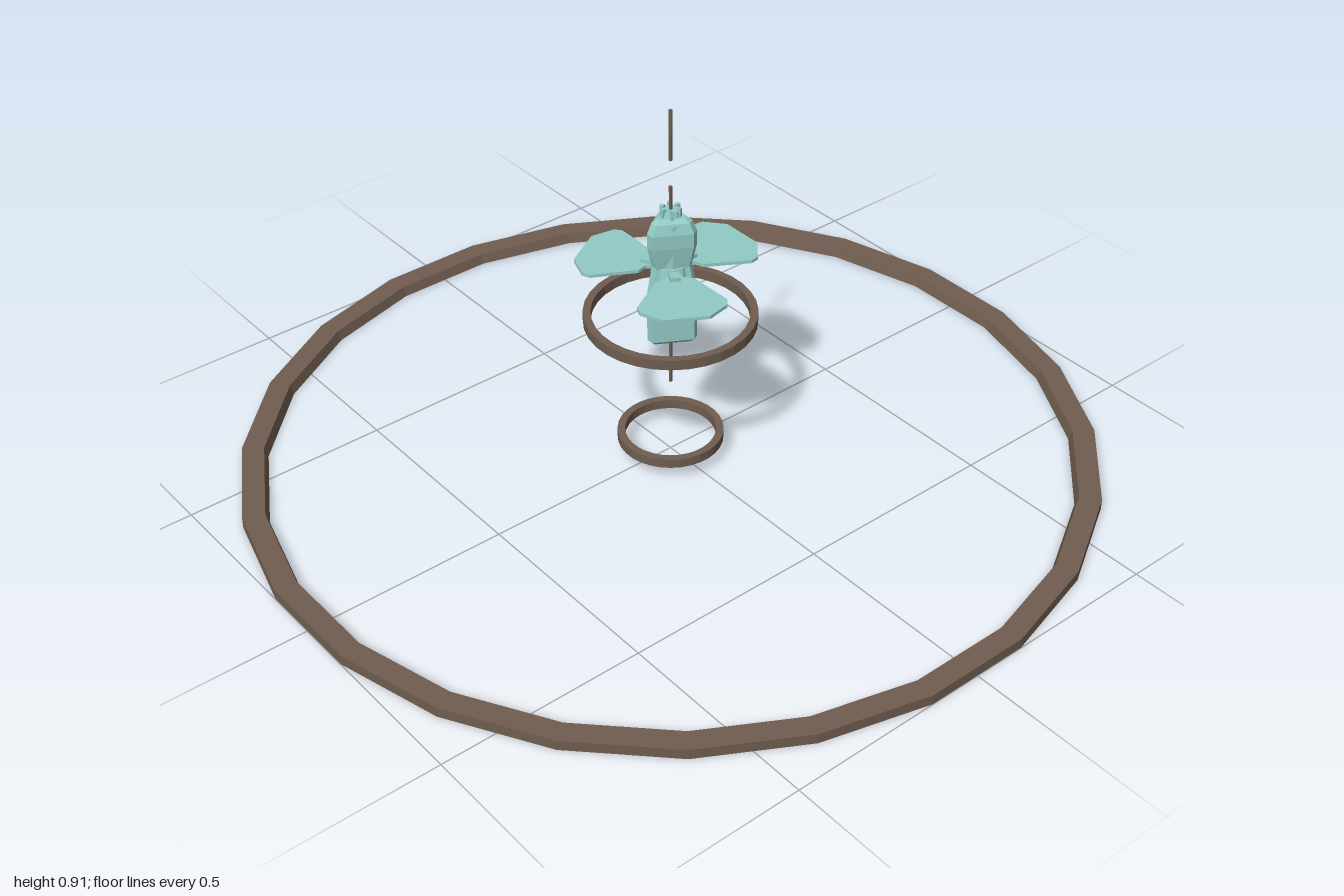
import * as THREE from 'three';

const brown = new THREE.MeshStandardMaterial({ color: 0x6f5d4f, flatShading: true });
const teal = new THREE.MeshStandardMaterial({ color: 0x92cbc5, flatShading: true });

function add(parent, name, geometry, material, y = 0) {
  const mesh = new THREE.Mesh(geometry, material);
  mesh.name = name;
  mesh.position.y = y;
  parent.add(mesh);
  return mesh;
}

// Flat band of rectangular section; the inner wall may lean inwards by `lean`
function ringGeometry(inner, outer, y0, y1, sides, lean = 0) {
  const profile = [[inner - lean, y0], [outer, y0], [outer, y1], [inner, y1], [inner - lean, y0]]
    .map(([r, y]) => new THREE.Vector2(r, y));
  return new THREE.LatheGeometry(profile, sides, Math.PI / sides);
}

// Loft of a truncated triangle, scaled at each [height, scale] level
function triLoft(levels, reach, half) {
  const section = [];
  for (let k = 0; k < 3; k++) {
    const a = Math.PI / 3 + k * 2 * Math.PI / 3;
    for (const w of [-half, half]) {
      section.push([reach * Math.cos(a) - w * Math.sin(a), reach * Math.sin(a) + w * Math.cos(a)]);
    }
  }
  const n = section.length, pos = [], index = [];
  for (const [y, s] of levels) for (const [x, z] of section) pos.push(x * s, y, z * s);
  for (let i = 0; i < levels.length - 1; i++) {
    for (let j = 0; j < n; j++) {
      const a = i * n + j, b = i * n + (j + 1) % n;
      index.push(a, a + n, b, b, a + n, b + n);
    }
  }
  const top = (levels.length - 1) * n;
  for (let j = 1; j < n - 1; j++) {
    index.push(0, j, j + 1);
    index.push(top, top + j + 1, top + j);
  }
  const g = new THREE.BufferGeometry();
  g.setAttribute('position', new THREE.Float32BufferAttribute(pos, 3));
  g.setIndex(index);
  g.computeVertexNormals();
  return g;
}

export function createModel() {
  const model = new THREE.Group();
  model.name = 'station';

  // Rings
  add(model, 'groundRing', ringGeometry(0.956, 1.008, 0, 0.025, 24, 0.008), brown);
  add(model, 'lowerRing', ringGeometry(0.107, 0.125, 0.037, 0.06, 32), brown);
  add(model, 'upperRing', ringGeometry(0.182, 0.2, 0.368, 0.393, 32), brown);

  // Rods along the axis
  for (const [name, y0, y1] of [['lowerRod', 0.195, 0.34], ['topRod', 0.66, 0.72], ['floatingRod', 0.785, 0.91]]) {
    add(model, name, new THREE.CylinderGeometry(0.004, 0.004, y1 - y0, 8), brown, (y0 + y1) / 2);
  }

  // Three-sided hull sections with a waist between them
  const hull = new THREE.Group();
  hull.name = 'hull';
  model.add(hull);
  add(hull, 'lowerHull', triLoft([[0.325, 0.85], [0.333, 1], [0.46, 1], [0.505, 0.86], [0.53, 0.78]], 0.061, 0.009), teal);
  add(hull, 'upperHull', triLoft([[0.52, 0.78], [0.55, 0.9], [0.58, 1], [0.615, 1], [0.64, 0.82], [0.648, 0.6]], 0.059, 0.01), teal);
  add(hull, 'core', new THREE.CylinderGeometry(0.036, 0.036, 0.3, 12), teal, 0.485);

  // Crown on top
  add(hull, 'crownBase', new THREE.CylinderGeometry(0.02, 0.026, 0.02, 12), teal, 0.652);
  for (let k = 0; k < 6; k++) {
    const a = k * Math.PI / 3;
    const tooth = add(hull, 'crownTooth', new THREE.BoxGeometry(0.01, 0.025, 0.008), teal, 0.656);
    tooth.position.x = 0.02 * Math.cos(a);
    tooth.position.z = 0.02 * Math.sin(a);
    tooth.rotation.y = -a;
  }

  // Blades on a collar
  add(hull, 'collar', new THREE.CylinderGeometry(0.042, 0.046, 0.024, 12), teal, 0.514);
  const outline = [[0.03, 0.014], [0.052, 0.02], [0.06, 0.043], [0.155, 0.1], [0.175, 0.097], [0.213, 0.052]];
  const points = [...outline, ...outline.map(([x, z]) => [x, -z]).reverse()]
    .map(([x, z]) => new THREE.Vector2(x, z));
  const bladeGeometry = new THREE.ExtrudeGeometry(new THREE.Shape(points), { depth: 0.008, bevelEnabled: false });
  bladeGeometry.rotateX(-Math.PI / 2);
  for (let k = 0; k < 3; k++) {
    const arm = new THREE.Group();
    arm.name = 'bladeArm';
    arm.rotation.y = k * 2 * Math.PI / 3;
    hull.add(arm);
    add(arm, 'blade', bladeGeometry, teal, 0.506);
    const root = add(arm, 'bladeRoot', new THREE.BoxGeometry(0.04, 0.018, 0.024), teal, 0.514);
    root.position.x = 0.048;
  }
  return model;
}
